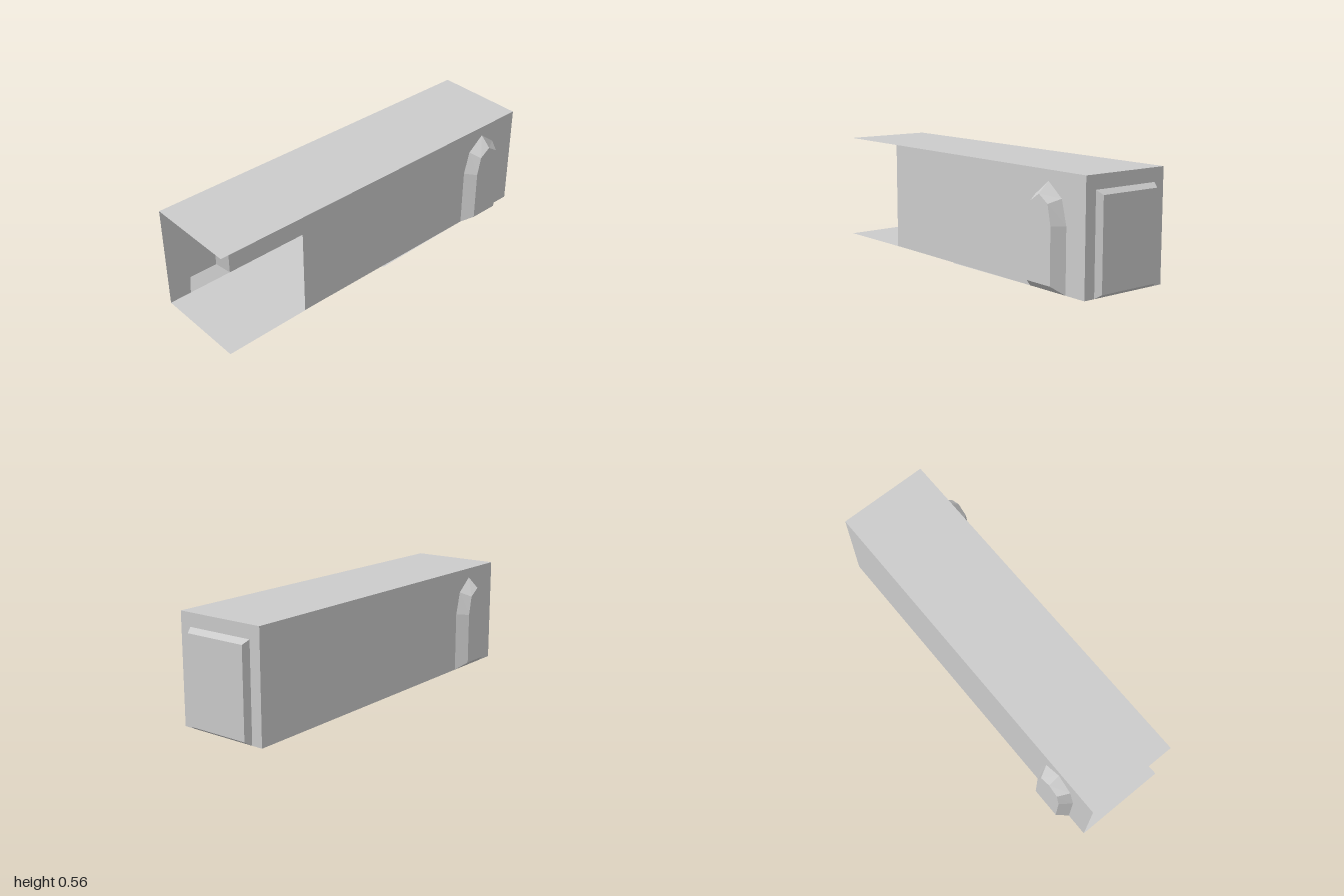
import * as THREE from 'three';

const H = 0.565, D = 0.247, X0 = -1, X1 = 0.967;
const mat = new THREE.MeshStandardMaterial({ color: 0xcccccc, flatShading: true, side: THREE.DoubleSide });

function mesh(geo, name) {
  const m = new THREE.Mesh(geo, mat);
  m.name = name;
  return m;
}

const flat = pts => new THREE.ShapeGeometry(new THREE.Shape(pts.map(p => new THREE.Vector2(p[0], p[1]))));

// Bevelled niche: outer outline at depth 0 lofted to the inner outline, then capped
function niche(outer, inner, depth, name) {
  const g = new THREE.Group();
  g.name = name;
  const pos = [];
  outer.forEach((a, i) => {
    const j = (i + 1) % outer.length, b = outer[j], c = inner[j], d = inner[i];
    pos.push(...a, 0, ...b, 0, ...c, depth, ...a, 0, ...c, depth, ...d, depth);
  });
  const sides = new THREE.BufferGeometry();
  sides.setAttribute('position', new THREE.Float32BufferAttribute(pos, 3));
  sides.computeVertexNormals();
  const back = flat(inner);
  back.translate(0, 0, depth);
  g.add(mesh(sides, name + 'Bevel'), mesh(back, name + 'Panel'));
  return g;
}

// Wall in its own plane (u across, y up, outward +z), notched at floor level by a niche.
// Outlines run counter-clockwise from the lower right corner to the lower left.
function wall(u0, u1, outer, inner, depth, name) {
  const g = new THREE.Group();
  g.name = name;
  const notch = [...outer].reverse();
  g.add(mesh(flat([[u0, 0], ...notch, [u1, 0], [u1, H], [u0, H]]), name + 'Face'));
  g.add(niche(outer, inner, depth, name + 'Niche'));
  return g;
}

// Pointed arch outline around centre c
function arch(c, w, base, shoulderW, shoulderY, top) {
  return [[c + w, base], [c + w, 0.32], [c + shoulderW, shoulderY], [c, top],
    [c - shoulderW, shoulderY], [c - w, 0.32], [c - w, base]];
}
const archPair = c => [arch(c, 0.123, 0, 0.091, 0.442, 0.513), arch(c, 0.081, 0.043, 0.06, 0.42, 0.46)];

// Rectangular outline for the end panel
const rect = (w, y0, y1) => [[w, y0], [w, y1], [-w, y1], [-w, y0]];

export function createModel() {
  const model = new THREE.Group();
  model.name = 'corridor';

  // Front wall stops short, leaving a side opening
  const front = wall(-0.532, X1, ...archPair(0.72), 0.058, 'frontWall');
  front.position.z = D;

  // Back wall runs the full length
  const back = wall(-X1, -X0, ...archPair(0.757), 0.058, 'backWall');
  back.rotation.y = Math.PI;
  back.position.z = -D;

  // Closed end with a bevelled panel; the other end is open
  const end = wall(-D, D, rect(0.187, 0, 0.496), rect(0.171, 0.022, 0.475), 0.033, 'endWall');
  end.rotation.y = Math.PI / 2;
  end.position.x = X1;

  // Roof and floor; the floor's front edge is slightly uneven
  const roof = mesh(flat([[X0, -D], [X1, -D], [X1, D], [X0, D]]), 'roof');
  roof.rotation.x = -Math.PI / 2;
  roof.position.y = H;
  const floor = mesh(flat([[X0, -D], [X0, 0.256], [-0.42, D], [-0.01, D], [0, 0.256], [0.55, D], [X1, D], [X1, -D]]), 'floor');
  floor.rotation.x = Math.PI / 2;

  model.add(front, back, end, roof, floor);
  return model;
}
